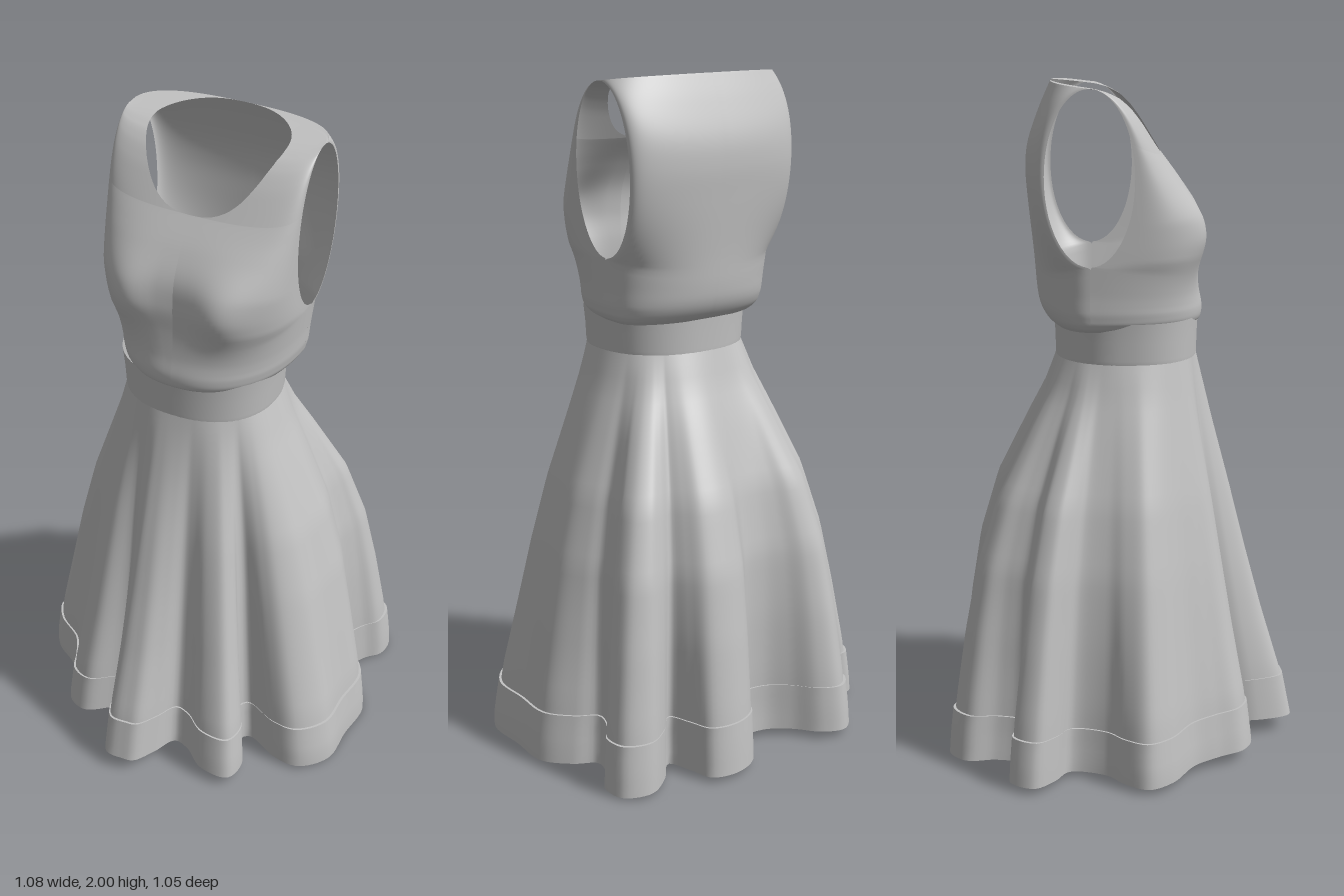
import * as THREE from 'three';

const fabric = new THREE.MeshStandardMaterial({ color: 0xc2c2c2, side: THREE.DoubleSide });
fabric.name = 'grey fabric';

// Surface through rows of points, each point [x, y, z]; closed joins row ends smoothly
function sheet(name, rows, closed = false, flip = false) {
  const n = rows[0].length, index = [];
  for (let i = 0; i < rows.length - 1; i++) {
    for (let j = 0; j < (closed ? n : n - 1); j++) {
      const k = (j + 1) % n;
      const a = i * n + j, b = i * n + k, c = (i + 1) * n + k, d = (i + 1) * n + j;
      index.push(...(flip ? [a, c, b, a, d, c] : [a, b, c, a, c, d]));
    }
  }
  const geo = new THREE.BufferGeometry();
  geo.setAttribute('position', new THREE.Float32BufferAttribute(rows.flat(2), 3));
  geo.setIndex(index);
  geo.computeVertexNormals();
  const mesh = new THREE.Mesh(geo, fabric);
  mesh.name = name;
  return mesh;
}

// Linear lookup in [key, value] pairs with rising keys
function lookup(table, k) {
  if (k <= table[0][0]) return table[0][1];
  for (let i = 1; i < table.length; i++) {
    const [k0, v0] = table[i - 1], [k1, v1] = table[i];
    if (k <= k1) return v0 + (v1 - v0) * (k - k0) / (k1 - k0);
  }
  return table[table.length - 1][1];
}

const power = (v, p) => Math.sign(v) * Math.abs(v) ** p;
const spline = (pts, n) => new THREE.SplineCurve(pts.map(p => new THREE.Vector2(...p))).getPoints(n);

// Rounded waist outline at an angle from the front
function waistPoint(angle, rx, rz, cz) {
  return [rx * power(Math.sin(angle), 0.88), cz + rz * power(Math.cos(angle), 0.88)];
}

// ---- Skirt ----
// Hem outline seen from above (x, z), from the front towards +x
const HEM = [
  [-0.03, 0.523], [0.005, 0.515], [0.045, 0.45], [0.08, 0.375], [0.13, 0.385], [0.2, 0.433], [0.295, 0.428],
  [0.306, 0.345], [0.25, 0.265], [0.27, 0.225], [0.38, 0.264], [0.46, 0.262], [0.53, 0.18], [0.532, 0.05],
  [0.537, -0.085], [0.475, -0.165], [0.415, -0.21], [0.45, -0.3], [0.493, -0.35], [0.488, -0.43],
  [0.41, -0.463], [0.33, -0.42], [0.265, -0.355], [0.24, -0.43], [0.22, -0.505], [0.14, -0.528],
  [0.05, -0.49], [0.0, -0.375], [-0.09, -0.375], [-0.16, -0.425], [-0.22, -0.498], [-0.29, -0.525],
  [-0.353, -0.47], [-0.345, -0.38], [-0.37, -0.305], [-0.49, -0.333], [-0.533, -0.26], [-0.48, -0.2],
  [-0.42, -0.16], [-0.445, -0.05], [-0.5, 0], [-0.54, 0.07], [-0.5, 0.14], [-0.4, 0.21], [-0.355, 0.285],
  [-0.32, 0.36], [-0.25, 0.388], [-0.165, 0.335], [-0.135, 0.325], [-0.13, 0.42], [-0.09, 0.52],
];
// Spread from waist to hem against height, at front and back
const SPREAD_FRONT = [[0.05, 1], [0.2, 0.9], [0.4, 0.7], [0.6, 0.52], [0.8, 0.35], [1, 0.17], [1.2, 0]];
const SPREAD_BACK = [[0, 1], [0.2, 0.96], [0.4, 0.9], [0.6, 0.81], [0.8, 0.62], [0.9, 0.46], [1, 0.3], [1.1, 0.13], [1.2, 0]];
// Depth of the folds against height, at front and back
const FOLD_FRONT = [[0.2, 1], [0.6, 0.9], [1.2, 0.8]];
const FOLD_BACK = [[0.1, 1], [0.3, 0.85], [0.6, 0.6], [1.2, 0.45]];

function hemSamples(count) {
  const curve = new THREE.CatmullRomCurve3(HEM.map(([x, z]) => new THREE.Vector3(x, 0, z)), true);
  const pts = curve.getSpacedPoints(count).slice(0, count);
  const raw = pts.map(p => Math.atan2(p.x, p.z));
  // Smoothed angle, so that folds fan out evenly from the waist, and smoothed outline without folds
  return pts.map((p, i) => {
    let s = 0, c = 0, r = 0;
    for (let k = -9; k <= 9; k++) {
      const a = raw[(i + k + count) % count];
      s += Math.sin(a);
      c += Math.cos(a);
    }
    for (let k = -16; k <= 16; k++) {
      const q = pts[(i + k + count) % count];
      r += Math.hypot(q.x, q.z) / 33;
    }
    const angle = Math.atan2(s, c);
    return { x: p.x, z: p.z, angle, smoothX: 1.05 * r * Math.sin(angle), smoothZ: 1.05 * r * Math.cos(angle) };
  });
}

function skirtPoint(s, y, scale) {
  const w = (1 + Math.cos(s.angle)) / 2;
  const t = w * lookup(SPREAD_FRONT, y) + (1 - w) * lookup(SPREAD_BACK, y);
  const fold = w * lookup(FOLD_FRONT, y) + (1 - w) * lookup(FOLD_BACK, y);
  const [wx, wz] = waistPoint(s.angle, 0.23, 0.21, 0.01);
  const hx = s.smoothX + (s.x - s.smoothX) * fold, hz = s.smoothZ + (s.z - s.smoothZ) * fold;
  const k = 1 + (scale - 1) * t;
  return [(wx + (hx - wx) * t) * k, y, (wz + (hz - wz) * t) * k];
}

function makeSkirt() {
  const group = new THREE.Group();
  group.name = 'skirt';
  const samples = hemSamples(300);
  const bandTop = s => 0.15 + (Math.cos(s.angle) > 0 ? 0.035 : 0.02) * Math.cos(s.angle) ** 2;
  const bandBottom = s => (Math.cos(s.angle) > 0 ? 0.05 : 0.02) * Math.cos(s.angle) ** 2
    + 0.018 * Math.max(0, -Math.sin(s.angle));
  const ring = (height, scale) => samples.map(s => skirtPoint(s, height(s), scale));
  const between = (low, high, t) => s => low(s) + (high(s) - low(s)) * t;
  const rows = [], band = [];
  for (let i = 0; i <= 36; i++) rows.push(ring(between(bandBottom, () => 1.2, i / 36), 0.985));
  for (let i = 0; i <= 4; i++) band.push(ring(between(bandBottom, bandTop, i / 4), 1));
  group.add(
    sheet('skirtPanel', rows, true),
    sheet('hemBand', band, true),
    sheet('hemBandTopEdge', [band[4], ring(bandTop, 0.985)], true),
    sheet('hemBandBottomEdge', [rows[0], band[0]], true),
  );
  return group;
}

// ---- Waistband ----
function makeWaistband() {
  const profile = [[1.195, 0.23, 0.21], [1.21, 0.233, 0.211], [1.26, 0.236, 0.212], [1.32, 0.243, 0.215]];
  return sheet('waistband', profile.map(([y, rx, rz]) => Array.from({ length: 72 }, (_, j) => {
    const [x, z] = waistPoint(j / 72 * Math.PI * 2, rx, rz, 0.01);
    return [x, y, z];
  })), true);
}

// ---- Bodice ----
const HALF_WIDTH = [[1.295, 0.236], [1.305, 0.25], [1.32, 0.26], [1.35, 0.267], [1.4, 0.271], [1.49, 0.282], [1.75, 0.291], [2, 0.3]];
const SHOULDER = [[-0.21, 2], [-0.18, 1.995], [-0.13, 1.988], [-0.08, 1.981], [-0.04, 1.97], [0, 1.95], [0.03, 1.922], [0.06, 1.88], [0.11, 1.795]];
// Side seam height against height at the centre
const SEAM = [[1.295, 1.295], [1.34, 1.34], [1.39, 1.405], [1.45, 1.49]];
// Corner roundness against height: smaller is boxier
const ROUND_FRONT = [[1.295, 0.88], [1.36, 0.86], [1.42, 0.78], [1.5, 0.65], [1.62, 0.62], [1.75, 0.73], [2, 0.75]];
const ROUND_BACK = [[1.295, 0.95], [1.4, 0.98], [1.55, 0.95], [1.8, 0.86], [2, 0.75]];

// Line up the front, over the shoulder and down the back: z, y and half neck opening
function bodiceLine() {
  const front = spline([[0.215, 1.295], [0.232, 1.31], [0.236, 1.345], [0.226, 1.4], [0.218, 1.48],
    [0.217, 1.56], [0.206, 1.64], [0.168, 1.715], [0.11, 1.795]], 56);
  const back = spline([[-0.21, 2], [-0.243, 1.925], [-0.276, 1.83], [-0.284, 1.75], [-0.277, 1.65], [-0.263, 1.5],
    [-0.255, 1.4], [-0.245, 1.35], [-0.225, 1.315], [-0.2, 1.295]], 56);
  const line = front.map(p => ({ z: p.x, y: p.y, neck: 0, front: true }));
  for (let i = 1; i < 40; i++) {
    const a = Math.PI * i / 40, z = -0.05 + 0.16 * Math.cos(a);
    line.push({ z, y: lookup(SHOULDER, z), neck: 0.208 * Math.sin(a) ** 0.8, front: z > -0.18 });
  }
  return line.concat(back.map(p => ({ z: p.x, y: p.y, neck: 0, front: false })));
}

// Matching point on the armhole rim, or on the side seam below it
function sidePoint(p) {
  if (p.y < 1.45) return [-0.095, lookup(SEAM, p.y)];
  const a = Math.PI * Math.min(1, (p.y - 1.45) / 0.55);
  return [-0.095 + (p.front ? 0.127 : -0.127) * Math.sin(a), 1.7375 - 0.2475 * Math.cos(a)];
}

function bodiceHalf(name, side) {
  const rows = bodiceLine().map(p => {
    const [az, ay] = sidePoint(p), width = lookup(HALF_WIDTH, ay), row = [];
    const e = lookup(p.front ? ROUND_FRONT : ROUND_BACK, p.y);
    const start = Math.asin((p.neck / width) ** (1 / e));
    for (let j = 0; j <= 28; j++) {
      const a = start + (Math.PI / 2 - start) * j / 28;
      const x = width * Math.sin(a) ** e;
      const g = 1 - Math.max(0, Math.cos(a)) ** e;
      const y = p.y + (ay - p.y) * g;
      let z = p.z + (az - p.z) * g;
      // Bust fullness
      if (p.front) z += 0.034 * (1 - g) * Math.exp(-(((x - 0.15) / 0.09) ** 2) - ((y - 1.565) / 0.1) ** 2);
      row.push([side * x, y, z]);
    }
    return row;
  });
  return sheet(name, rows, false, side < 0);
}

function makeBodice() {
  const group = new THREE.Group();
  group.name = 'bodice';
  group.add(bodiceHalf('leftBodice', 1), bodiceHalf('rightBodice', -1));
  group.position.x = 0.006;
  return group;
}

export function createModel() {
  const dress = new THREE.Group();
  dress.name = 'dress';
  dress.add(makeSkirt(), makeWaistband(), makeBodice());
  return dress;
}
